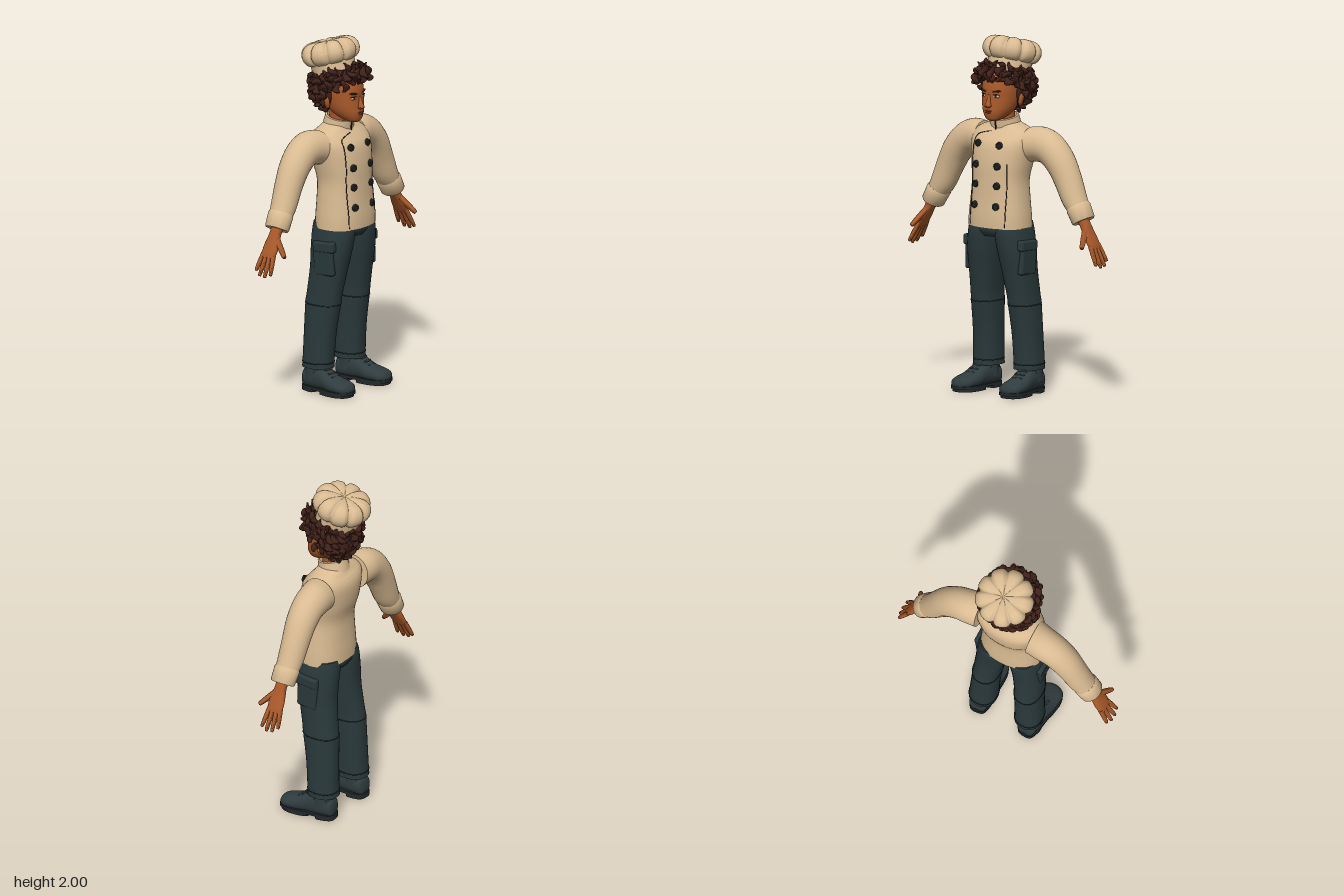
import * as THREE from 'three';
import { mergeGeometries, toCreasedNormals } from 'three/addons/utils/BufferGeometryUtils.js';
import { RoundedBoxGeometry } from 'three/addons/geometries/RoundedBoxGeometry.js';

const mat = (name, hex, side = THREE.FrontSide) => {
  const m = new THREE.MeshStandardMaterial({ color: hex, side });
  m.name = name;
  return m;
};

// Catmull-Rom resampling of rings [y, x, z, rx, rz, tilt]
function smooth(rings, steps = 4) {
  const full = rings.map(r => [...r, 0].slice(0, 6)), out = [];
  const at = i => full[Math.min(Math.max(i, 0), full.length - 1)];
  for (let i = 0; i < full.length - 1; i++) for (let k = 0; k < steps; k++) {
    const t = k / steps, [a, b, c, d] = [at(i - 1), at(i), at(i + 1), at(i + 2)];
    out.push(b.map((_, n) => 0.5 * (2 * b[n] + (c[n] - a[n]) * t + (2 * a[n] - 5 * b[n] + 4 * c[n] - d[n]) * t * t
      + (3 * b[n] - a[n] - 3 * c[n] + d[n]) * t * t * t)));
  }
  out.push(at(full.length));
  return out;
}

// Closed skin over superellipse rings; each ring may lean by its tilt in the xy plane
function loft(rings, n = 28, p = 2) {
  const pos = [], idx = [], pw = v => Math.sign(v) * Math.abs(v) ** (2 / p);
  for (const [y, x, z, rx, rz, a = 0] of rings) for (let j = 0; j < n; j++) {
    const t = j / n * Math.PI * 2, u = rx * pw(Math.cos(t));
    pos.push(x + u * Math.cos(a), y + u * Math.sin(a), z + rz * pw(Math.sin(t)));
  }
  for (let i = 0; i < rings.length - 1; i++) for (let j = 0; j < n; j++) {
    const a = i * n + j, b = i * n + (j + 1) % n;
    idx.push(a, a + n, b, b, a + n, b + n);
  }
  const first = rings[0], last = rings[rings.length - 1], c = pos.length / 3, e = (rings.length - 1) * n;
  pos.push(first[1], first[0], first[2], last[1], last[0], last[2]);
  for (let j = 0; j < n; j++) idx.push(c, j, (j + 1) % n, c + 1, e + (j + 1) % n, e + j);
  const g = new THREE.BufferGeometry();
  g.setAttribute('position', new THREE.Float32BufferAttribute(pos, 3));
  g.setIndex(idx);
  return toCreasedNormals(g, 1.05);
}

// Ring interpolated at height y, and the front surface depth there
function ringAt(rings, y) {
  let i = 0;
  while (i < rings.length - 2 && rings[i + 1][0] < y) i++;
  const a = rings[i], b = rings[i + 1], t = THREE.MathUtils.clamp((y - a[0]) / (b[0] - a[0]), 0, 1);
  return a.map((v, n) => v + (b[n] - v) * t);
}
function frontZ(rings, x, y, p) {
  const r = ringAt(rings, y), q = Math.min(Math.abs((x - r[1]) / r[3]), 1);
  return r[2] + r[4] * (1 - q ** p) ** (1 / p);
}

export function createModel() {
  const coat = mat('cream cloth', 0xd9bb92), skin = mat('skin', 0xa9592a), hair = mat('brown hair', 0x40211a);
  const cloth = mat('dark trousers', 0x2a393b), leather = mat('shoe leather', 0x303c3f), sole = mat('sole', 0x22292b);
  const dark = mat('dark trim', 0x231f1d), white = mat('eye white', 0xcdb9a4), lip = mat('lips', 0x8a4328);
  const model = new THREE.Group();
  const add = (name, geo, m, parent = model, pos = [0, 0, 0], rot = [0, 0, 0]) => {
    const mesh = new THREE.Mesh(geo, m);
    mesh.name = name;
    mesh.position.set(...pos);
    mesh.rotation.set(...rot);
    parent.add(mesh);
    return mesh;
  };
  const group = (name, pos, rot = [0, 0, 0]) => {
    const g = new THREE.Group();
    g.name = name;
    g.position.set(...pos);
    g.rotation.set(...rot);
    model.add(g);
    return g;
  };
  const seam = (name, pts, closed = false, m = dark) => {
    const curve = new THREE.CatmullRomCurve3(pts.map(q => new THREE.Vector3(...q)), closed, 'centripetal');
    add(name, new THREE.TubeGeometry(curve, pts.length * 3, 0.0028, 5, closed), m);
  };

  // Jacket body, hem, collar
  const torso = smooth([[0.935, 0, 0.035, 0.185, 0.143], [1.0, 0, 0.035, 0.182, 0.142], [1.1, 0, 0.033, 0.172, 0.135],
    [1.2, 0, 0.03, 0.165, 0.133], [1.3, 0, 0.015, 0.18, 0.143], [1.4, 0, 0, 0.195, 0.138], [1.45, 0, -0.012, 0.19, 0.115],
    [1.48, 0, -0.015, 0.16, 0.09], [1.505, 0, -0.015, 0.1, 0.075], [1.52, 0, -0.015, 0.07, 0.06]]);
  add('jacketBody', loft(torso, 40, 2.3), coat);
  const onCoat = (x, y, lift = 0) => [x, y, frontZ(torso, x, y, 2.3) + lift];
  add('collar', loft([[-0.04, 0, 0, 0.092, 0.088], [0.01, 0, 0, 0.082, 0.084], [0.03, 0, 0, 0.08, 0.082],
    [0.033, 0, 0, 0.07, 0.072], [0, 0, 0, 0.062, 0.064]], 32), coat, model, [0, 1.515, -0.008], [0.2, 0, 0]);
  add('collarOpening', new THREE.BoxGeometry(0.006, 0.055, 0.006), dark, model, [0, 1.497, 0.078], [0.1, 0, 0]);

  // Front flap edges and double row of buttons
  const heights = [1.4, 1.3, 1.2, 1.1, 1.02, 0.945];
  seam('flapEdge', [[-0.02, 1.468], [-0.07, 1.458], [-0.112, 1.44], ...heights.map(y => [-0.118, y])].map(q => onCoat(...q)));
  seam('frontSeam', heights.slice(1).map(y => onCoat(0.122, y)));
  for (const x of [-0.078, 0.07]) for (const y of [1.4, 1.285, 1.175, 1.06]) {
    const button = group('button', onCoat(x, y, 0.002), [0, x * 2.2, 0]);
    add('buttonDisc', new THREE.CylinderGeometry(0.018, 0.021, 0.012, 14), dark, button, [0, 0, 0.002], [Math.PI / 2, 0, 0]);
    add('buttonRim', new THREE.TorusGeometry(0.016, 0.004, 6, 16), cloth, button, [0, 0, 0.007]);
  }

  // Pelvis
  add('trouserWaist', loft(smooth([[0.885, 0, 0.025, 0.12, 0.11], [0.92, 0, 0.025, 0.17, 0.128], [0.98, 0, 0.025, 0.17, 0.125]]), 36, 2.3), cloth);
  const legProfile = [[0.135, 0.142, -0.043, 0.08, 0.09], [0.19, 0.142, -0.041, 0.079, 0.088], [0.34, 0.137, -0.033, 0.077, 0.093],
    [0.5, 0.13, -0.018, 0.078, 0.105], [0.56, 0.127, -0.01, 0.078, 0.105], [0.7, 0.115, 0.01, 0.086, 0.11],
    [0.8, 0.106, 0.02, 0.093, 0.12], [0.9, 0.093, 0.025, 0.092, 0.128], [0.96, 0.088, 0.025, 0.085, 0.122]];
  const armProfile = [[1.06, 0.5, -0.04, 0.058, 0.066, 0.51], [1.12, 0.462, -0.042, 0.07, 0.073, 0.48],
    [1.22, 0.415, -0.045, 0.078, 0.078, 0.45], [1.31, 0.365, -0.045, 0.085, 0.085, 0.65],
    [1.375, 0.3, -0.045, 0.093, 0.09, 0.95], [1.4, 0.23, -0.043, 0.1, 0.095, 1.35], [1.395, 0.16, -0.03, 0.1, 0.1, 1.5]];
  const flip = (rings, s) => rings.map(([y, x, z, rx, rz, a = 0]) => [y, s * x, z, rx, rz, s * a]);

  for (const s of [1, -1]) {
    const side = s > 0 ? 'left' : 'right';
    // Trouser leg with hem, knee seam and cargo pocket
    const leg = smooth(flip(legProfile, s));
    add(side + 'Leg', loft(leg, 32, 2.3), cloth);
    for (const y of [0.165, 0.5]) {
      const r = ringAt(leg, y), ring = [];
      for (let i = 0; i < 20; i++) {
        const c = Math.cos(i * Math.PI / 10), d = Math.sin(i * Math.PI / 10), pw = v => Math.sign(v) * Math.abs(v) ** (2 / 2.3);
        ring.push([r[1] + r[3] * pw(c), y, r[2] + r[4] * pw(d)]);
      }
      seam(side + 'LegSeam', ring, true, sole);
    }
    add(side + 'CargoPocket', new RoundedBoxGeometry(0.04, 0.18, 0.13, 3, 0.015), cloth, model, [s * 0.186, 0.765, 0.03], [-0.06, 0, s * -0.03]);
    add(side + 'PocketFlap', new RoundedBoxGeometry(0.045, 0.06, 0.14, 3, 0.012), cloth, model, [s * 0.189, 0.84, 0.034], [-0.06, 0, s * -0.03]);

    // Shoe: upper, ankle, sole, heel, laces
    const shoe = group(side + 'Shoe', [s * 0.158, 0, 0], [0, s * 0.08, 0]);
    const upper = smooth([[-0.122, 0, -0.06, 0.03, 0.045], [-0.105, 0, -0.07, 0.052, 0.06], [-0.02, 0, -0.08, 0.06, 0.075],
      [0.03, 0, -0.075, 0.063, 0.065], [0.09, 0, -0.057, 0.07, 0.048], [0.16, 0, -0.048, 0.07, 0.036], [0.195, 0, -0.044, 0.05, 0.028],
      [0.21, 0, -0.04, 0.02, 0.012]]);
    add('shoeUpper', loft(upper, 24, 2.2), leather, shoe, [0, 0, 0], [Math.PI / 2, 0, 0]);
    add('shoeAnkle', new THREE.CylinderGeometry(0.062, 0.062, 0.1, 24), leather, shoe, [0, 0.115, -0.05]);
    const outline = (pts) => new THREE.Shape(new THREE.SplineCurve([...pts, ...pts.slice(1, -1).reverse().map(([x, y]) => [-x, y]), pts[0]]
      .map(q => new THREE.Vector2(...q))).getPoints(40));
    const slab = (pts, depth) => new THREE.ExtrudeGeometry(outline(pts), { depth, bevelEnabled: false });
    add('shoeSole', slab([[0, -0.215], [0.05, -0.198], [0.076, -0.13], [0.066, -0.03], [0.06, 0.06], [0.045, 0.115], [0, 0.13]], 0.016),
      sole, shoe, [0, 0.016, 0], [-Math.PI / 2, 0, 0]);
    add('shoeTread', slab([[0, -0.205], [0.045, -0.19], [0.07, -0.13], [0.06, -0.03], [0, -0.02]], 0.018), sole, shoe, [0, 0, 0], [-Math.PI / 2, 0, 0]);
    add('shoeHeel', slab([[0, 0.02], [0.056, 0.03], [0.058, 0.07], [0.04, 0.118], [0, 0.128]], 0.02), sole, shoe, [0, 0, 0], [-Math.PI / 2, 0, 0]);
    for (let i = 0; i < 3; i++)
      add('lace', new THREE.CapsuleGeometry(0.006, 0.05, 3, 8), leather, shoe, [0, 0.133 - i * 0.017, 0.042 + i * 0.025], [0, 0, Math.PI / 2]);

    // Sleeve and turned-up cuff
    add(side + 'Sleeve', loft(smooth(flip(armProfile, s)), 28), coat);
    add(side + 'Cuff', loft(flip([[1.005, 0.531, -0.037, 0.048, 0.056, 0.51], [1.003, 0.532, -0.037, 0.058, 0.066, 0.51], [1.01, 0.528, -0.037, 0.063, 0.071, 0.51],
      [1.075, 0.492, -0.04, 0.067, 0.074, 0.51], [1.085, 0.486, -0.04, 0.062, 0.069, 0.51]], s), 28), coat);

    // Hand with four fingers and a thumb
    const hand = group(side + 'Hand', [s * 0.535, 1.0, -0.035], [0, 0, s * 0.51]);
    add('palm', loft(smooth([[-0.165, 0, -0.004, 0.01, 0.042], [-0.15, 0, -0.003, 0.015, 0.047], [-0.1, 0, 0, 0.019, 0.049],
      [-0.06, 0, 0, 0.022, 0.042], [-0.02, 0, 0, 0.027, 0.034], [0.03, 0, 0, 0.03, 0.036]]), 20, 2.3), skin, hand);
    const finger = (len, r) => loft(smooth([[-len, 0, 0, r * 0.35, r * 0.35], [-len * 0.95, 0, 0, r * 0.75, r * 0.75],
      [-len * 0.55, 0, 0, r, r], [0.015, 0, 0, r * 1.1, r * 1.1]], 3), 12);
    [0.095, 0.12, 0.125, 0.11].forEach((len, i) => add('finger', finger(len, 0.0125), skin, hand,
      [0, -0.152, -0.04 + i * 0.0245], [(1.5 - i) * 0.1, 0, -s * 0.03]));
    add('thumb', finger(0.115, 0.016), skin, hand, [0, -0.06, 0.03], [-0.72, 0, -s * 0.05]);
  }

  // Neck and head
  add('neck', loft(smooth([[1.48, 0, -0.012, 0.062, 0.062], [1.54, 0, -0.005, 0.056, 0.058], [1.62, 0, 0.0, 0.06, 0.06]]), 24), skin);
  const head = smooth([[1.53, 0, 0.095, 0.022, 0.025], [1.543, 0, 0.083, 0.048, 0.052], [1.58, 0, 0.052, 0.077, 0.092],
    [1.62, 0, 0.036, 0.092, 0.105], [1.67, 0, 0.022, 0.1, 0.115], [1.72, 0, 0.016, 0.102, 0.12], [1.78, 0, 0, 0.098, 0.115], [1.83, 0, -0.01, 0.06, 0.07]]);
  add('head', loft(head, 36, 2.2), skin);
  const onFace = (x, y, lift = 0) => [x, y, frontZ(head, x, y, 2.2) + lift];
  add('nose', loft(smooth([[1.607, 0, 0.137, 0.012, 0.012], [1.618, 0, 0.142, 0.02, 0.024], [1.635, 0, 0.138, 0.014, 0.022],
    [1.665, 0, 0.13, 0.01, 0.016], [1.69, 0, 0.124, 0.011, 0.012]]), 14), skin);
  const blob = (name, m, r, pos, scale, rot) => add(name, new THREE.SphereGeometry(r, 16, 12), m, model, pos, rot).scale.set(...scale);
  blob('upperLip', lip, 0.024, onFace(0, 1.589), [1, 0.16, 0.3]);
  blob('lowerLip', lip, 0.02, onFace(0, 1.58), [1, 0.22, 0.35]);
  blob('chin', skin, 0.028, [0, 1.552, 0.112], [1, 0.75, 0.8]);
  for (const s of [1, -1]) {
    blob('eye', white, 0.015, onFace(s * 0.044, 1.672, -0.002), [1.2, 0.55, 0.4], [0, s * 0.35, 0]);
    blob('iris', dark, 0.007, onFace(s * 0.043, 1.672, 0.003), [1, 1, 0.4], [0, s * 0.3, 0]);
    blob('eyelid', dark, 0.018, onFace(s * 0.045, 1.681, 0), [1.1, 0.13, 0.35], [0, s * 0.35, 0]);
    blob('eyebrow', hair, 0.024, onFace(s * 0.046, 1.7, 0), [1.1, 0.22, 0.3], [0, s * 0.35, s * 0.15]);
    blob('ear', skin, 0.036, [s * 0.112, 1.645, -0.008], [0.4, 1.1, 0.7], [0.15, s * 0.45, s * -0.25]);
  }

  // Hair: a cap under rows of curled locks, leaning back with the hat
  const lean = [-0.28, 0, 0], crown = [0, 1.75, -0.025];
  const hairGroup = group('hair', crown, lean);
  add('hairCap', new THREE.SphereGeometry(1, 28, 20), hair, hairGroup, [0, -0.04, -0.045]).scale.set(0.14, 0.12, 0.11);
  let seed = 7;
  const rnd = () => (seed = (seed * 16807) % 2147483647) / 2147483647;
  const locks = [];
  // rows: [height, x radius, front radius, back radius, start angle, end angle, count]
  for (const [y, rx, rf, rb, from, to, count] of [[0.045, 0.13, 0.145, 0.12, 0, 3.14, 11], [0.02, 0.152, 0.185, 0.13, 0, 3.14, 12],
    [-0.008, 0.145, 0.16, 0.13, 0, 1.5, 6], [-0.02, 0.16, 0.19, 0.138, 0.6, 3.14, 10], [-0.06, 0.156, 0, 0.138, 1.35, 3.14, 8], [-0.095, 0.132, 0, 0.13, 1.85, 3.14, 6],
    [-0.125, 0.105, 0, 0.11, 2.1, 3.14, 4]]) for (const s of [1, -1]) for (let i = 0; i < count; i++) {
    const phi = s * (from + (to - from) * (i + 0.3 + rnd() * 0.5) / count), c = Math.cos(phi);
    const rings = [], turn = rnd() * 6, len = 0.06 + rnd() * 0.025;
    for (let k = 0; k <= 8; k++) {
      const t = k / 8, r = 0.005 + 0.016 * Math.sin(Math.PI * Math.min(t + 0.08, 1)), w = turn + t * 6;
      rings.push([(t - 0.5) * len, 0.011 * Math.cos(w), 0.011 * Math.sin(w), r, r]);
    }
    const g = loft(rings, 9);
    g.rotateZ((rnd() - 0.5) * 1.8 + 0.5);
    g.rotateY(phi);
    g.translate(rx * Math.sin(phi), y + (rnd() - 0.5) * 0.02, c * (c > 0 ? rf : rb));
    locks.push(g);
  }
  add('curls', mergeGeometries(locks), hair, hairGroup);

  // Hat: band and lobed puffy top
  const hat = group('hat', crown, lean);
  add('hatBand', loft([[0, 0, 0, 0.118, 0.122], [0.06, 0, 0, 0.12, 0.124], [0.13, 0, 0, 0.124, 0.126]], 40), coat, hat);
  const puff = new THREE.LatheGeometry(new THREE.SplineCurve([[0.06, 0.098], [0.12, 0.098], [0.152, 0.118], [0.166, 0.155], [0.155, 0.195],
    [0.12, 0.222], [0.06, 0.225], [0.0005, 0.214]].map(q => new THREE.Vector2(...q))).getPoints(28), 108);
  const pos = puff.attributes.position;
  for (let i = 0; i < pos.count; i++) {
    const x = pos.getX(i), z = pos.getZ(i), r = Math.hypot(x, z);
    const dip = (1 - Math.abs(Math.sin(Math.atan2(x, z) * 4.5 + Math.PI / 2))) ** 2 * Math.min(r / 0.12, 1);
    const k = 1 - 0.13 * dip;
    pos.setXYZ(i, x * k, pos.getY(i) - (pos.getY(i) > 0.16 ? 0.014 * dip : 0), z * k);
  }
  puff.computeVertexNormals();
  add('hatPuff', puff, coat, hat);
  return model;
}
